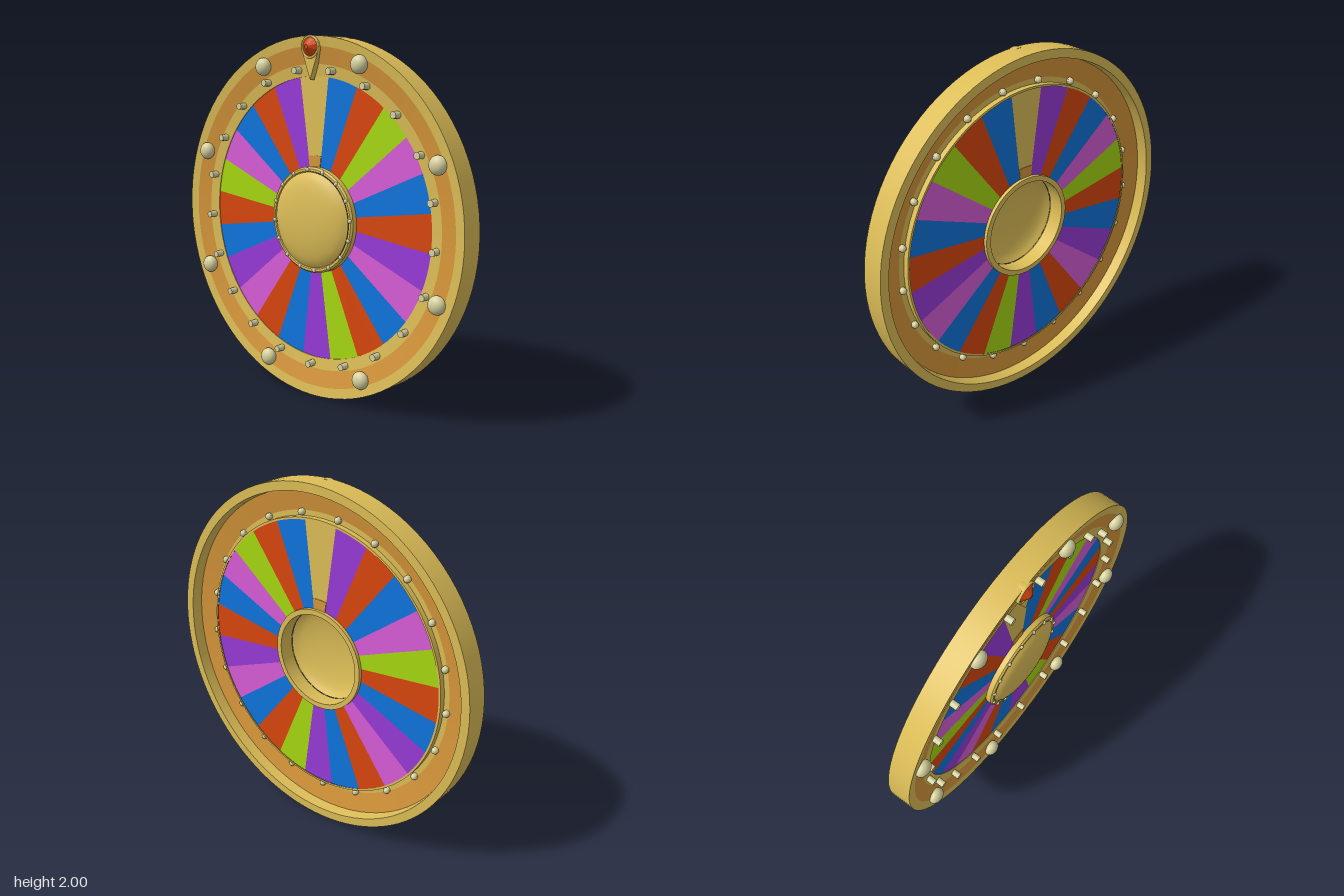
import * as THREE from 'three';
import { mergeGeometries } from 'three/addons/utils/BufferGeometryUtils.js';

const mat = (name, color, side = THREE.FrontSide) => {
  const m = new THREE.MeshStandardMaterial({ color, side });
  m.name = name;
  return m;
};

export function createModel() {
  const gold = mat('gold', 0xdcbd57, THREE.DoubleSide);
  const orange = mat('orange', 0xd6963a, THREE.DoubleSide);
  const ivory = mat('ivory', 0xd8d3a0);
  const paint = {
    b: mat('blue', 0x0e74dc), r: mat('red', 0xd8460e), g: mat('green', 0xa6d910),
    m: mat('pink', 0xd75cd7), p: mat('purple', 0x973ad7),
  };

  const model = new THREE.Group();
  model.name = 'prizeWheel';
  const wheel = new THREE.Group();
  wheel.name = 'wheel';
  wheel.position.y = 1;
  model.add(wheel);

  const add = (name, geo, material, x = 0, y = 0, z = 0) => {
    const mesh = new THREE.Mesh(geo, material);
    mesh.name = name;
    mesh.position.set(x, y, z);
    wheel.add(mesh);
    return mesh;
  };

  // Revolves [radius, z] points about the wheel axis
  const revolve = (pts) => new THREE.LatheGeometry(
    pts.map(([r, z]) => new THREE.Vector2(r, z)), 96).rotateX(Math.PI / 2);
  // Same, with a sharp edge at every point
  const revolveSharp = (pts) => mergeGeometries(
    pts.slice(1).map((p, i) => revolve([pts[i], p])));

  // Rim: outer wall, sloping orange track, inner gold band
  add('outerRim', revolveSharp([[0.945, -0.03], [0.95, -0.095], [1, -0.095], [1, 0.04], [0.945, 0.032]]), gold);
  add('frontTrack', revolve([[0.945, 0.032], [0.85, 0.012]]), orange);
  add('backTrack', revolve([[0.83, -0.012], [0.945, -0.03]]), orange);
  add('innerBand', revolveSharp([[0.85, 0.012], [0.785, 0.004], [0.785, -0.012], [0.83, -0.012]]), gold);
  add('discEdge', revolveSharp([[0.788, -0.045], [0.8, -0.045], [0.8, -0.01]]), gold);

  // Sector plate between two radii
  const sector = (r0, r1, a0, a1, depth) => {
    const s = new THREE.Shape();
    s.absarc(0, 0, r1, a0, a1, false);
    s.absarc(0, 0, r0, a1, a0, true);
    s.closePath();
    return new THREE.ExtrudeGeometry(s, { depth, bevelEnabled: false, curveSegments: 6 });
  };

  // 24 wedges, clockwise from the top; the first one is plain gold
  const step = Math.PI / 12, turn = 0.012;
  [...'_brgmbrpmbrgpbrmpbrgmbrp'].forEach((c, i) => {
    const a = Math.PI / 2 + turn - i * step;
    add('wedge', sector(0.28, 0.79, a - step / 2, a + step / 2, 0.04), paint[c] || gold, 0, 0, -0.04);
    if (i === 0) {
      const foot = sector(0.29, 0.355, a - step / 2, a + step / 2, 0.003);
      add('wedgeFootFront', foot, orange);
      add('wedgeFootBack', foot, orange, 0, 0, -0.043);
    }
  });

  // Hub: ring sleeve with a hollow dome
  add('hubRing', revolveSharp([[0.265, 0.03], [0.265, -0.06], [0.295, -0.06], [0.295, 0.03],
    [0.285, 0.04], [0.272, 0.04], [0.265, 0.03]]), gold);
  const dome = [];
  for (let i = 0; i <= 12; i++) {
    const t = 1 - i / 12;
    dome.push([0.266 * t, 0.022 + 0.07 * Math.sqrt(1 - 0.96 * t * t)]);
  }
  add('hubDome', revolve(dome), gold);

  // Places count copies evenly on a circle
  const around = (count, radius, start, place) => {
    for (let i = 0; i < count; i++) {
      const a = start + (i * 2 * Math.PI) / count;
      place(radius * Math.cos(a), radius * Math.sin(a));
    }
  };
  const deg = Math.PI / 180;

  const bolt = new THREE.SphereGeometry(0.05, 20, 14);
  around(8, 0.91, 23.3 * deg, (x, y) => {
    add('rimBolt', bolt, ivory, x, y, 0.04).scale.z = 0.75;
  });

  // Pegs pass right through the inner band
  const peg = new THREE.CylinderGeometry(0.019, 0.019, 0.075, 12).rotateX(Math.PI / 2);
  const pegBack = new THREE.SphereGeometry(0.019, 12, 8);
  around(21, 0.822, 12 * deg, (x, y) => {
    add('peg', peg, ivory, x, y, 0.0165);
    add('pegBackEnd', pegBack, ivory, x, y, -0.023);
  });

  const rivet = new THREE.SphereGeometry(0.012, 10, 8);
  around(16, 0.28, 5 * deg, (x, y) => add('hubRivet', rivet, ivory, x, y, 0.038));

  // Teardrop pointer with a raised lip and a faceted gem
  const drop = (r, tip) => {
    const s = new THREE.Shape();
    s.absarc(0, 0, r, -0.35, Math.PI + 0.35, false);
    s.lineTo(0, tip);
    s.closePath();
    return s;
  };
  add('pointer', new THREE.ExtrudeGeometry(drop(0.062, -0.175),
    { depth: 0.035, bevelEnabled: false, curveSegments: 20 }), gold, 0, 0.94, 0.01);
  add('pointerLip', new THREE.TorusGeometry(0.057, 0.006, 8, 32), gold, 0, 0.94, 0.045);
  const gem = new THREE.CylinderGeometry(0.012, 0.052, 0.032, 10, 1).toNonIndexed();
  gem.rotateX(Math.PI / 2);
  gem.computeVertexNormals();
  add('pointerGem', gem, paint.r, 0, 0.94, 0.06);

  return model;
}
